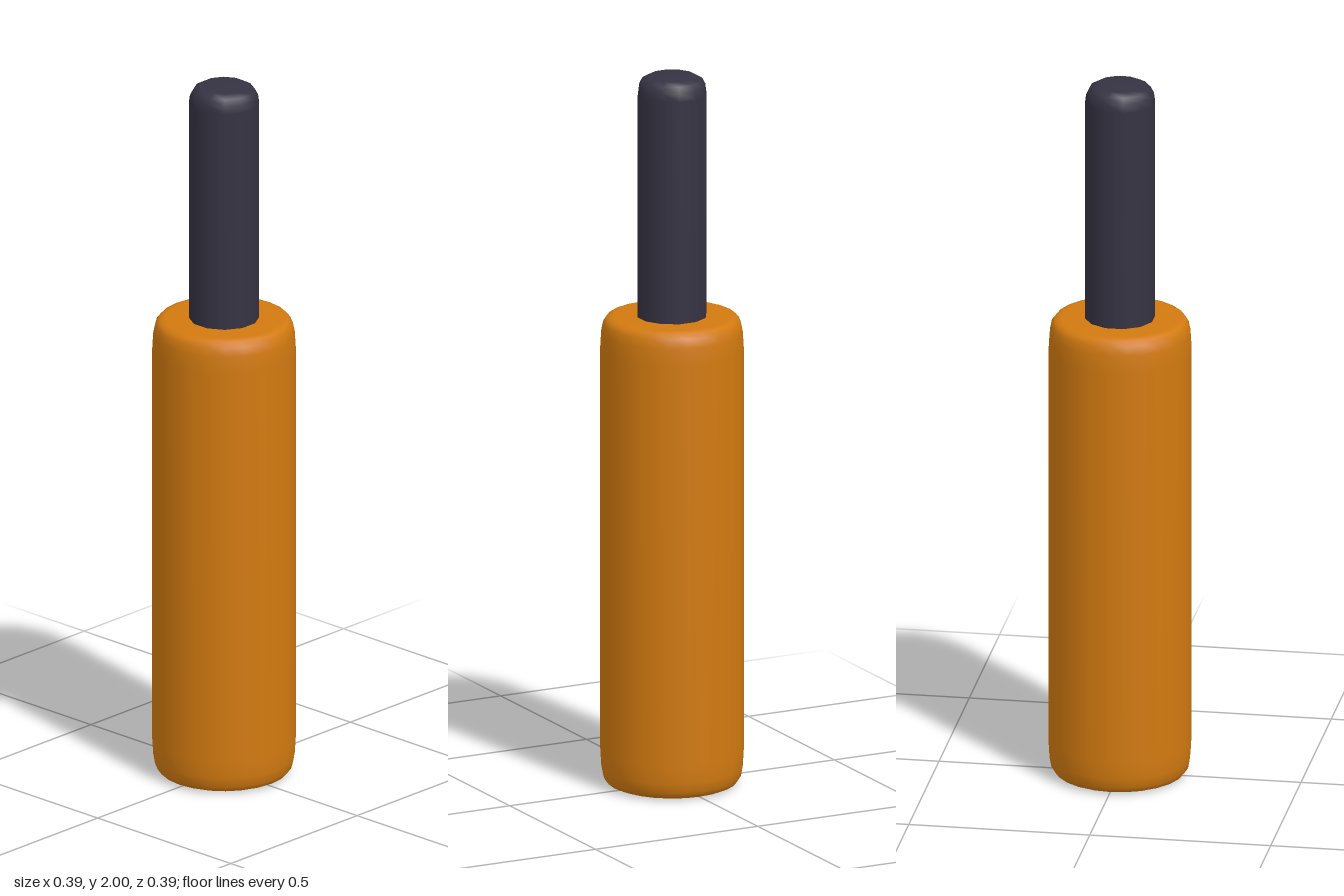
import * as THREE from 'three';

const orange = new THREE.MeshStandardMaterial({ name: 'orange grip', color: 0xd27a10 });
const dark = new THREE.MeshStandardMaterial({ name: 'dark metal', color: 0x353342 });

// Revolves a profile of [radius, height] points, listed from bottom to top
function turned(name, profile, sides, material, start = 0) {
  const points = profile.map(([r, y]) => new THREE.Vector2(r, y));
  const mesh = new THREE.Mesh(new THREE.LatheGeometry(points, sides, start), material);
  mesh.name = name;
  return mesh;
}

export function createModel() {
  const group = new THREE.Group();
  group.name = 'handle';

  // Grip: thick cylinder with softly rounded rims
  group.add(turned('grip', [
    [0, 0], [0.16, 0], [0.177, 0.007], [0.188, 0.022], [0.193, 0.05], [0.196, 0.1],
    [0.196, 1.23], [0.193, 1.28], [0.188, 1.305], [0.178, 1.318], [0.16, 1.323], [0, 1.323],
  ], 24, orange));

  // Rod: twelve-sided shaft with a rounded tip, seated in the grip
  group.add(turned('rod', [
    [0, 1.25], [0.096, 1.25], [0.096, 1.3], [0.096, 1.95], [0.093, 1.973],
    [0.084, 1.99], [0.066, 2], [0, 2],
  ], 12, dark, Math.PI / 12));

  return group;
}
